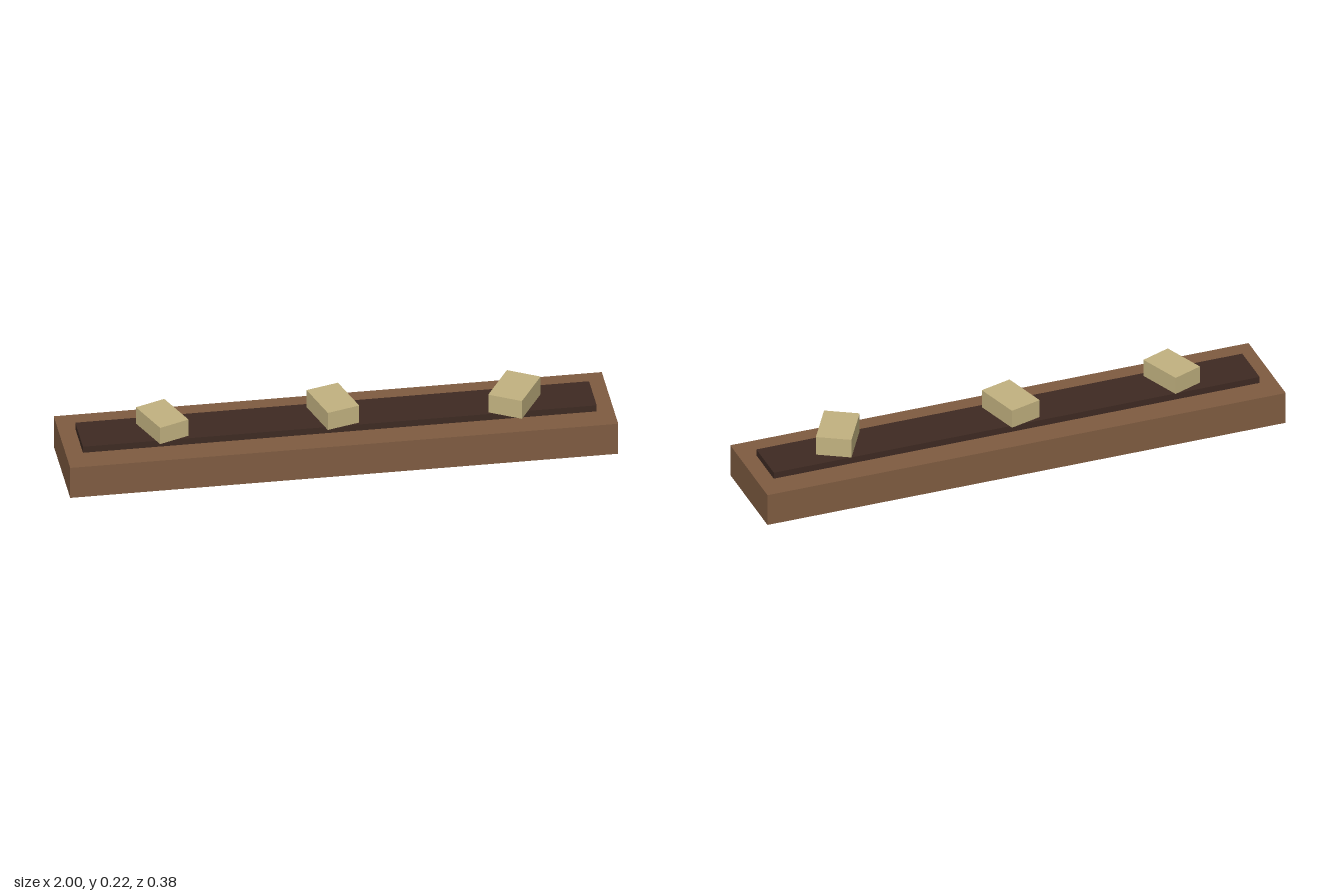
import * as THREE from 'three';

const wood = new THREE.MeshStandardMaterial({ color: 0x7f5c41, side: THREE.DoubleSide });
wood.name = 'brownWood';
const soil = new THREE.MeshStandardMaterial({ color: 0x3e2a22 });
soil.name = 'darkBrown';
const sand = new THREE.MeshStandardMaterial({ color: 0xc2b280 });
sand.name = 'sand';

// Box standing on height y
function box(name, w, h, d, material, x, y, z) {
  const mesh = new THREE.Mesh(new THREE.BoxGeometry(w, h, d), material);
  mesh.name = name;
  mesh.position.set(x, y + h / 2, z);
  return mesh;
}

export function createModel() {
  const model = new THREE.Group();
  model.name = 'plankWithBlocks';

  // Hollow base, open underneath: drop the two triangles of the bottom face
  const base = box('base', 2, 0.125, 0.375, wood, 0, 0, 0);
  const index = Array.from(base.geometry.index.array);
  index.splice(18, 6);
  base.geometry.setIndex(index);
  base.geometry.clearGroups();
  model.add(base);

  // Raised dark strip
  model.add(box('strip', 1.875, 0.025, 0.175, soil, 0, 0.125, 0));

  // Three turned blocks of slightly different size: x, z, turn in degrees, scale
  const blocks = [
    [-0.636, 0.011, 21.5, 0.95],
    [-0.012, 0.004, 16, 1],
    [0.647, 0.026, -30, 1.04],
  ];
  blocks.forEach(([x, z, turn, s], i) => {
    const block = box(`block${i + 1}`, 0.125 * s, 0.071 * s, 0.181 * s, sand, x, 0.15, z);
    block.rotation.y = THREE.MathUtils.degToRad(turn);
    model.add(block);
  });

  return model;
}
